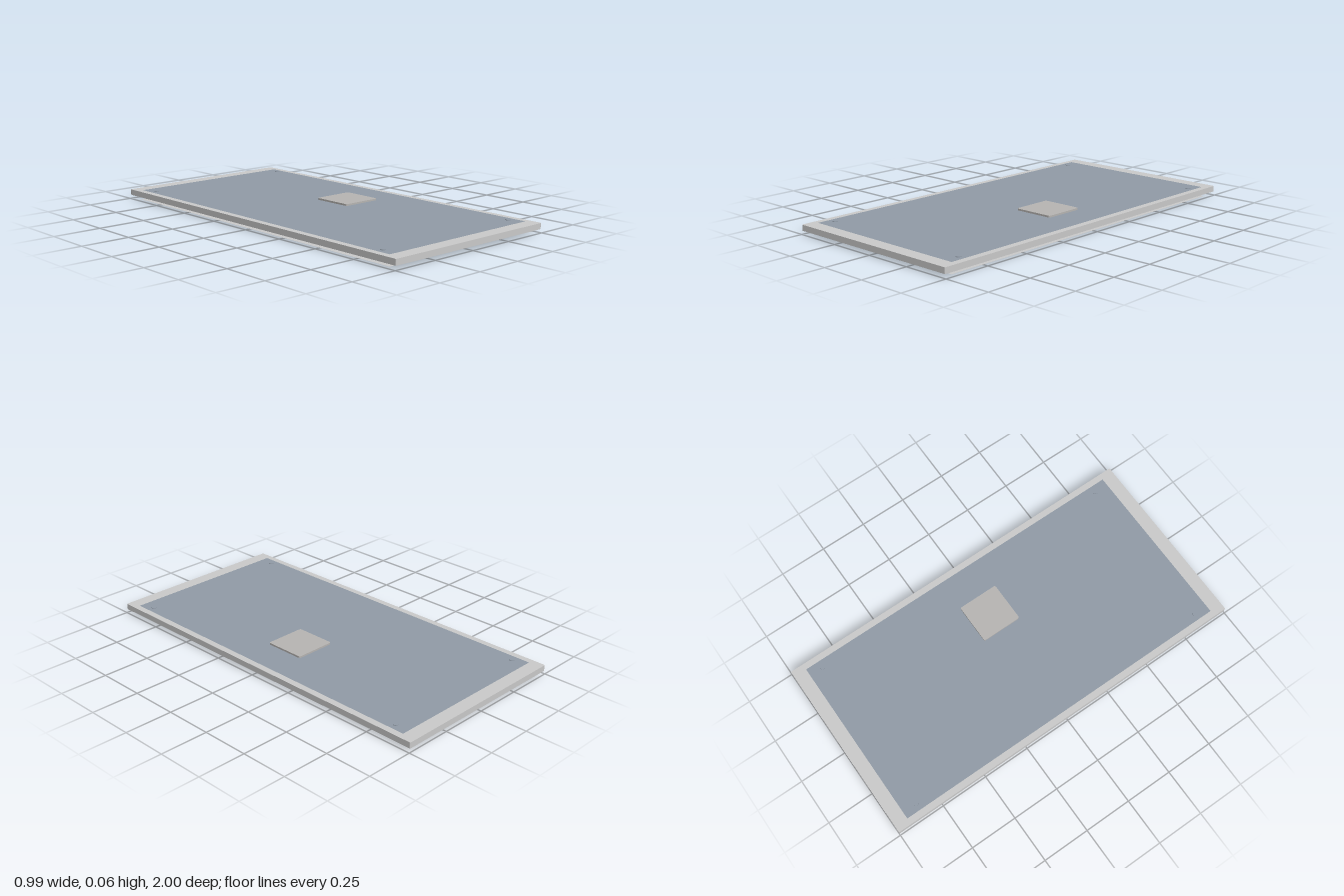
import * as THREE from 'three';

const paint = (color) => new THREE.MeshStandardMaterial({ color, side: THREE.DoubleSide });
const signs = [-1, 1];
const HOLE = { x: 0.425, z: 0.855, r: 0.013 };

// Rectangle with rounded corners, centred on the origin
function roundedRect(w, d, r) {
  const s = new THREE.Shape();
  const x = w / 2 - r, y = d / 2 - r;
  s.absarc(x, y, r, 0, Math.PI / 2);
  s.absarc(-x, y, r, Math.PI / 2, Math.PI);
  s.absarc(-x, -y, r, Math.PI, Math.PI * 1.5);
  s.absarc(x, -y, r, Math.PI * 1.5, Math.PI * 2);
  s.closePath();
  return s;
}

// Horizontal slab standing on y = 0
function slab(shape, height) {
  const g = new THREE.ExtrudeGeometry(shape, { depth: height, bevelEnabled: false, curveSegments: 8 });
  return g.rotateX(-Math.PI / 2);
}

export function createModel() {
  const model = new THREE.Group();
  const add = (name, geometry, material, x, y, z) => {
    const mesh = new THREE.Mesh(geometry, material);
    mesh.name = name;
    mesh.position.set(x, y, z);
    model.add(mesh);
  };
  const grey = paint(0xcccccc);
  const blue = paint(0x929ca8);

  // Main plate with four corner holes
  const outline = roundedRect(0.99, 2, 0.005);
  for (const sx of signs) for (const sz of signs) {
    const hole = new THREE.Path();
    hole.absarc(sx * HOLE.x, sz * HOLE.z, HOLE.r, 0, Math.PI * 2, true);
    outline.holes.push(hole);
  }
  add('plate', slab(outline, 0.03), paint(0xd0d4d2), 0, 0.02, 0);

  // Tinted sheet on the top face and backing sheet below
  const sheet = (w, d) => new THREE.PlaneGeometry(w, d).rotateX(-Math.PI / 2);
  add('topSheet', sheet(0.924, 1.86), blue, 0, 0.0507, 0);
  add('backingSheet', sheet(0.94, 1.88), grey, 0, 0, 0);

  // Low caps over the corner holes
  const cap = new THREE.CylinderGeometry(HOLE.r, HOLE.r, 0.003, 24);
  for (const sx of signs) for (const sz of signs) {
    add('cornerCap', cap, blue, sx * HOLE.x, 0.0522, sz * HOLE.z);
  }

  // Raised square pad
  add('pad', slab(roundedRect(0.217, 0.217, 0.01), 0.01), paint(0xb8b6b4), 0.178, 0.05, -0.002);

  return model;
}
